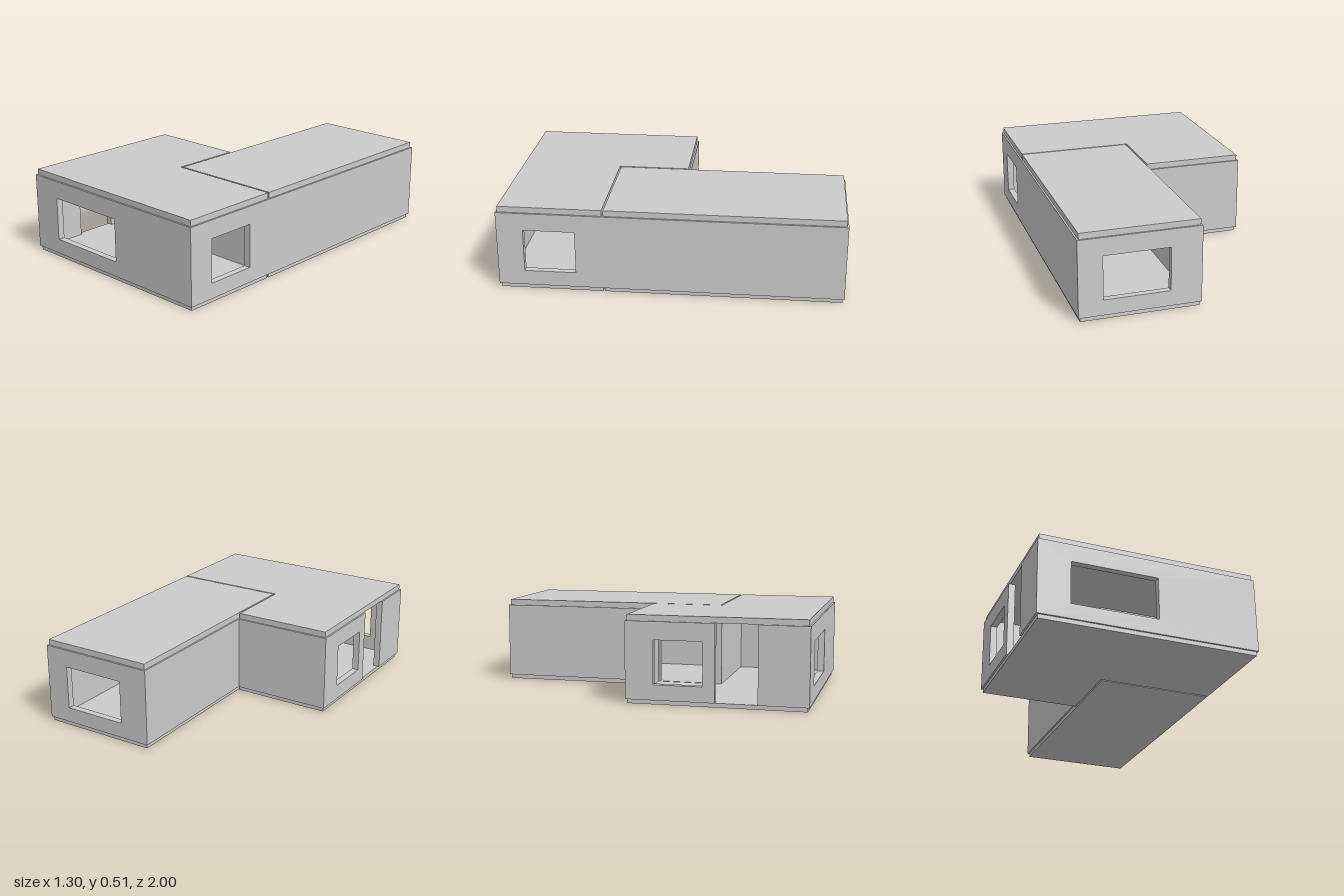
import * as THREE from 'three';

const FLOOR = 0.025, CEIL = 0.475, TOP = 0.51, T = 0.04;
const SILL = 0.115, HEAD = 0.37;
const mat = new THREE.MeshStandardMaterial({ color: 0xcccccc, flatShading: true });

const rect = (Type, a, b, c, d) => {
  const r = new Type();
  r.moveTo(a, c); r.lineTo(b, c); r.lineTo(b, d); r.lineTo(a, d); r.closePath();
  return r;
};

// Upright wall panel from a to b, with an optional window [from, to]
function panel(a, b, win) {
  const s = rect(THREE.Shape, a, b, FLOOR, CEIL);
  if (win) s.holes.push(rect(THREE.Path, win[0], win[1], SILL, HEAD));
  return new THREE.ExtrudeGeometry(s, { depth: T, bevelEnabled: false });
}

// Horizontal slab from an outline of [x, z] points
function slab(points, y0, y1) {
  const s = new THREE.Shape(points.map(([x, z]) => new THREE.Vector2(x, -z)));
  const g = new THREE.ExtrudeGeometry(s, { depth: y1 - y0, bevelEnabled: false });
  return g.rotateX(-Math.PI / 2).translate(0, y0, 0);
}

export function createModel() {
  const group = new THREE.Group();
  const add = (name, geo) => {
    const m = new THREE.Mesh(geo, mat);
    m.name = name;
    group.add(m);
  };
  // Wall running along x, its lower-z face at z
  const wallX = (name, x0, x1, z, win) => add(name, panel(x0, x1, win).translate(0, 0, z));
  // Wall running along z, its lower-x face at x
  const wallZ = (name, z0, z1, x, win) =>
    add(name, panel(-z1, -z0, win && [-win[1], -win[0]]).rotateY(Math.PI / 2).translate(x, 0, 0));

  // Outer and dividing walls
  wallX('frontWall', -0.65, 0.65, 1 - T, [-0.46, 0.05]);
  wallX('rearWall', -0.05, 0.65, -1, [0.13, 0.51]);
  wallX('wingRearWall', -0.65, -0.05, -0.05);
  wallX('dividingWall', -0.05, 0.65 - T, 0.387 - T);
  wallZ('leftWall', -1 + T, 1 - T, 0.65 - T, [0.545, 0.845]);

  // Right wall, split by a full-height doorway
  wallZ('rightWallWithWindow', -0.05 + T, 0.47, -0.65, [0.115, 0.4]);
  wallZ('rightWallFrontPart', 0.713, 1 - T, -0.65);

  // Inner wall beside the passage between the two wings
  wallZ('innerWall', -1 + T, 0, -0.05);

  // Floors and roofs, set back slightly from the wall faces
  const wing = [[-0.64, 0.99], [0.64, 0.99], [0.64, 0.387], [-0.05, 0.387], [-0.05, -0.04], [-0.64, -0.04]];
  const rear = [[-0.04, 0.378], [0.64, 0.378], [0.64, -0.99], [-0.04, -0.99]];
  for (const [name, outline] of [['frontWing', wing], ['rearWing', rear]]) {
    add(name + 'Floor', slab(outline, 0, FLOOR));
    add(name + 'Roof', slab(outline, CEIL, TOP));
  }
  return group;
}
